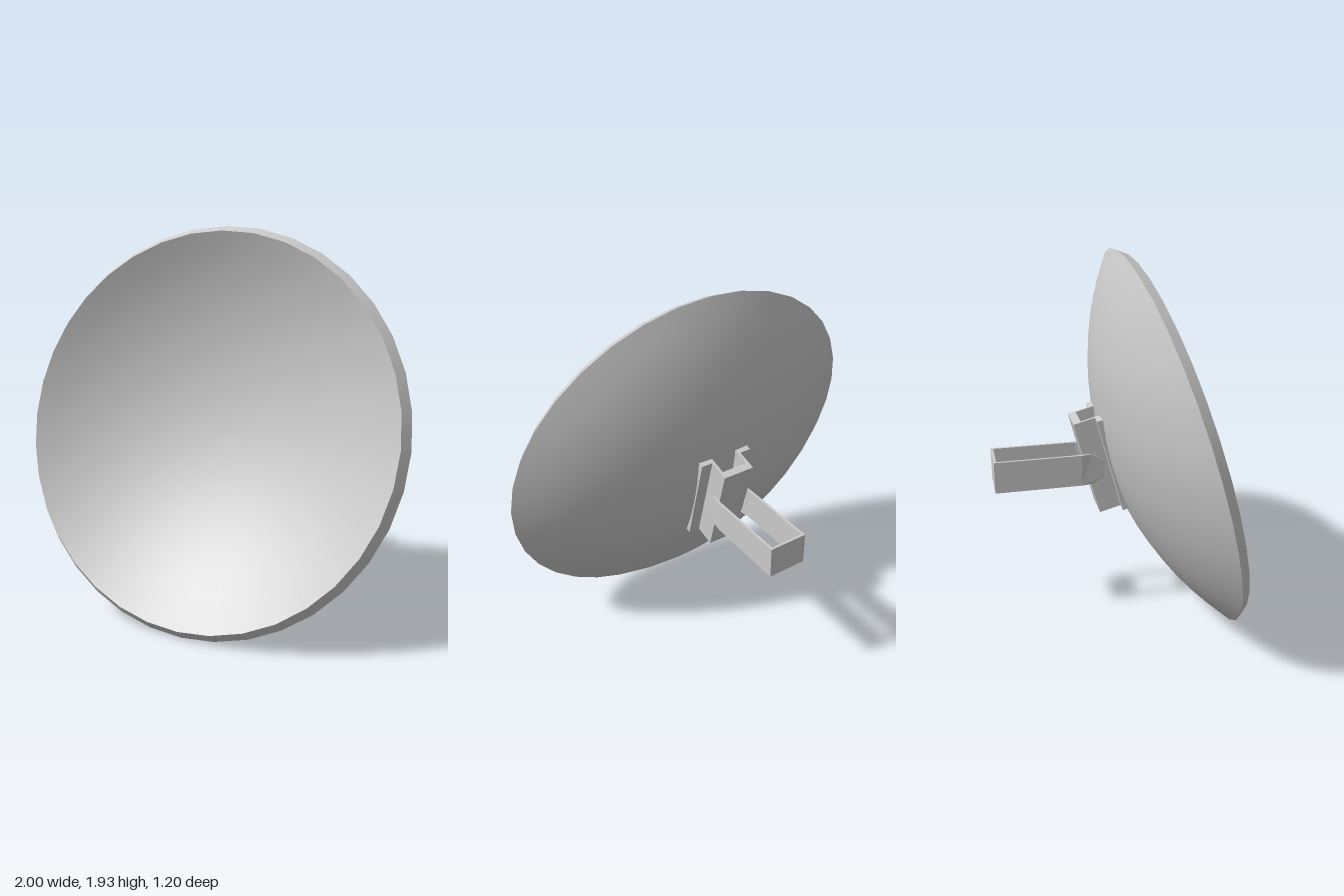
import * as THREE from 'three';

const material = new THREE.MeshStandardMaterial({ color: 0xcccccc });

function part(name, geometry, parent) {
  const mesh = new THREE.Mesh(geometry, material);
  mesh.name = name;
  parent.add(mesh);
  return mesh;
}

// Points along a spherical cap whose rim angle is shared by both dish faces
const OUTER_R = 1.68, THICKNESS = 0.06, CENTRE = 1.35;
const RIM_ANGLE = Math.asin(1 / OUTER_R);
function capProfile(radius, steps = 10) {
  return Array.from({ length: steps + 1 }, (_, i) => {
    const a = RIM_ANGLE * i / steps;
    return new THREE.Vector2(radius * Math.sin(a), CENTRE - radius * Math.cos(a));
  });
}

function polygon(points) {
  return new THREE.Shape(points.map(([x, y]) => new THREE.Vector2(x, y)));
}

export function createModel() {
  const model = new THREE.Group();
  model.name = 'dishAntenna';

  // Tilted head: local z is the dish axis, origin at the rim centre
  const head = new THREE.Group();
  head.name = 'dishHead';
  head.position.set(0, 0.97, 0.3);
  head.rotation.x = -THREE.MathUtils.degToRad(15);
  model.add(head);

  // Dish: back shell, rim band and hollow front face, with sharp edges between
  const back = capProfile(OUTER_R);
  const face = capProfile(OUTER_R - THICKNESS).reverse();
  const profiles = { dishBack: back, dishRim: [back[back.length - 1], face[0]], dishFace: face };
  for (const [name, points] of Object.entries(profiles)) {
    part(name, new THREE.LatheGeometry(points, 36).rotateX(Math.PI / 2), head);
  }

  // Mounting bracket: hat-section channel against the dish back
  const half = [
    [0.145, 0.303], [0.145, 0.333], [0.085, 0.333], [0.085, 0.445],
  ];
  const inner = [[0.07, 0.405], [0.07, 0.303]];
  const mirror = (pts) => pts.map(([x, y]) => [-x, y]).reverse();
  const hat = polygon([...half, ...mirror(half), ...mirror(inner), ...inner]);
  const height = 0.515;
  const channel = new THREE.ExtrudeGeometry(hat, { depth: height, bevelEnabled: false });
  channel.translate(0, 0, -height / 2).rotateX(-Math.PI / 2);
  part('mountBracket', channel, head);

  // Level U-shaped arm
  const arm = new THREE.Group();
  arm.name = 'supportArm';
  model.add(arm);
  const low = 0.775, high = 0.94, mid = (low + high) / 2, t = 0.013;
  const bendZ = -0.16, frontZ = -0.04, backZ = -0.6;

  for (const side of [1, -1]) {
    // Straight side plate
    const length = bendZ - backZ;
    part(side > 0 ? 'leftArmPlate' : 'rightArmPlate', new THREE.BoxGeometry(t, high - low, length), arm)
      .position.set(side * (0.1 - t / 2), mid, backZ + length / 2);

    // Front tab with clipped corners, bent inwards to the bracket wall
    const outline = polygon([
      [-bendZ, low], [-bendZ, high], [0.105, high], [-frontZ, 0.9], [-frontZ, 0.81], [0.105, low],
    ]);
    const tab = new THREE.ExtrudeGeometry(outline, { depth: t, bevelEnabled: false });
    tab.translate(0, 0, -t / 2).rotateY(Math.PI / 2);
    const p = tab.attributes.position;
    for (let i = 0; i < p.count; i++) {
      const bend = Math.min(1, (p.getZ(i) - bendZ) / 0.075) * 0.012;
      p.setX(i, p.getX(i) + side * (0.1 - t / 2 - bend));
    }
    tab.computeVertexNormals();
    part(side > 0 ? 'leftArmTab' : 'rightArmTab', tab, arm);
  }

  // Rear plate joining the two sides
  part('armEndPlate', new THREE.BoxGeometry(0.2, high - low, t), arm)
    .position.set(0, mid, backZ + t / 2);

  return model;
}
